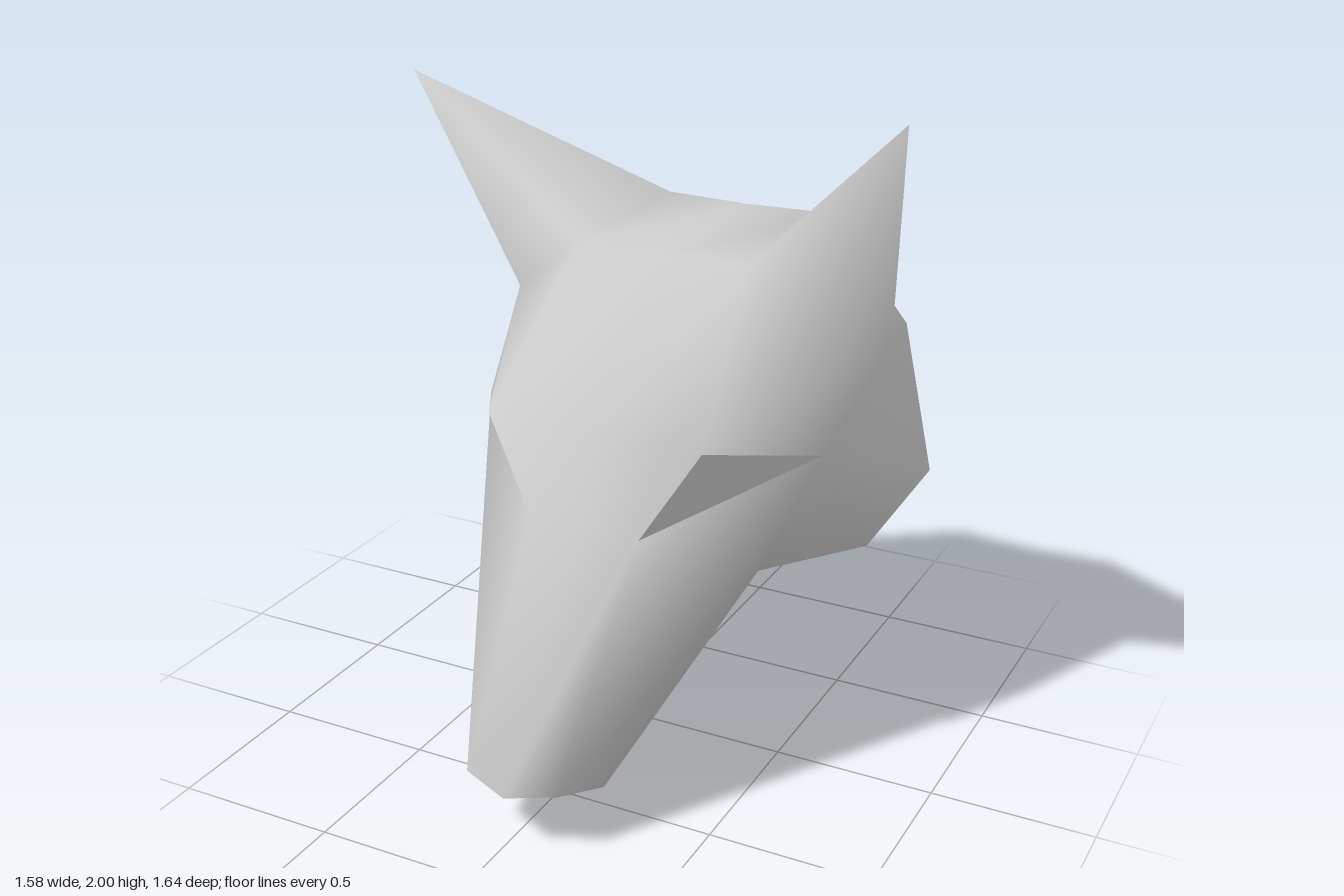
import * as THREE from 'three';

// Corner points of the left half; those with x = 0 lie on the mirror plane
const P = {
  noseMid: [0, 0.16, 0.82], noseSide: [0.15, 0.18, 0.77],
  chinMid: [0, 0, 0.49], chinSide: [0.14, 0.04, 0.475],
  bridge: [0, 0.8, 0.33], eyeInner: [0.18, 0.8, 0.33],
  brow: [0, 1.08, 0.27], eyeTop: [0.35, 1.08, 0.27], eyeOuter: [0.57, 0.98, -0.1],
  crown: [0, 1.5, -0.175], earFront: [0.28, 1.5, -0.175],
  earTip: [0.79, 2, -0.07], earOuter: [0.65, 1.23, -0.43], earBack: [0.29, 1.5, -0.82],
  rimTop: [0, 1.5, -0.8], rimSide: [0.61, 1.22, -0.68],
  cheek: [0.735, 0.765, -0.62], cheekLow: [0.59, 0.53, -0.47],
  jaw: [0.38, 0.57, -0.12], throat: [0, 0.33, -0.25],
};

// Faces of the left half, anticlockwise from outside
const SHELL = [
  // muzzle
  'noseMid noseSide eyeInner bridge', 'noseSide eyeOuter eyeInner',
  'noseSide chinSide jaw eyeOuter', 'chinMid throat jaw chinSide',
  'chinMid chinSide noseSide noseMid',
  // forehead and crown
  'bridge eyeInner eyeTop brow', 'brow eyeTop earFront crown',
  'eyeTop eyeOuter earOuter', 'eyeTop earOuter earFront',
  'crown earFront earBack rimTop',
  // ear
  'earFront earOuter earTip', 'earOuter earBack earTip', 'earFront earTip earBack',
  // cheek
  'earOuter rimSide earBack', 'eyeOuter cheek rimSide earOuter',
  'eyeOuter jaw cheekLow cheek', 'jaw throat cheekLow',
];
const EYE = ['eyeInner eyeOuter eyeTop'];

// Indexed geometry from named faces, on the given sides (1 = left, -1 = right)
function buildFaces(faces, sides) {
  const positions = [], index = [], ids = new Map();
  const vertex = (name, side) => {
    const [x, y, z] = P[name];
    const key = x === 0 ? name : name + side;
    if (!ids.has(key)) {
      ids.set(key, ids.size);
      positions.push(x * side, y, z);
    }
    return ids.get(key);
  };
  for (const side of sides) {
    for (const face of faces) {
      const v = face.split(' ').map((name) => vertex(name, side));
      if (side < 0) v.reverse();
      for (let i = 2; i < v.length; i++) index.push(v[0], v[i - 1], v[i]);
    }
  }
  const geometry = new THREE.BufferGeometry();
  geometry.setAttribute('position', new THREE.Float32BufferAttribute(positions, 3));
  geometry.setIndex(index);
  geometry.computeVertexNormals();
  return geometry;
}

export function createModel() {
  const group = new THREE.Group();
  group.name = 'foxMask';
  const material = new THREE.MeshStandardMaterial({ color: 0xcccccc, side: THREE.DoubleSide });

  // Thin smooth shell, open at the back
  const shell = new THREE.Mesh(buildFaces(SHELL, [1, -1]), material);
  shell.name = 'maskShell';
  group.add(shell);

  // Flat slanted eyes
  for (const side of [1, -1]) {
    const eye = new THREE.Mesh(buildFaces(EYE, [side]), material);
    eye.name = side > 0 ? 'leftEye' : 'rightEye';
    group.add(eye);
  }
  return group;
}
